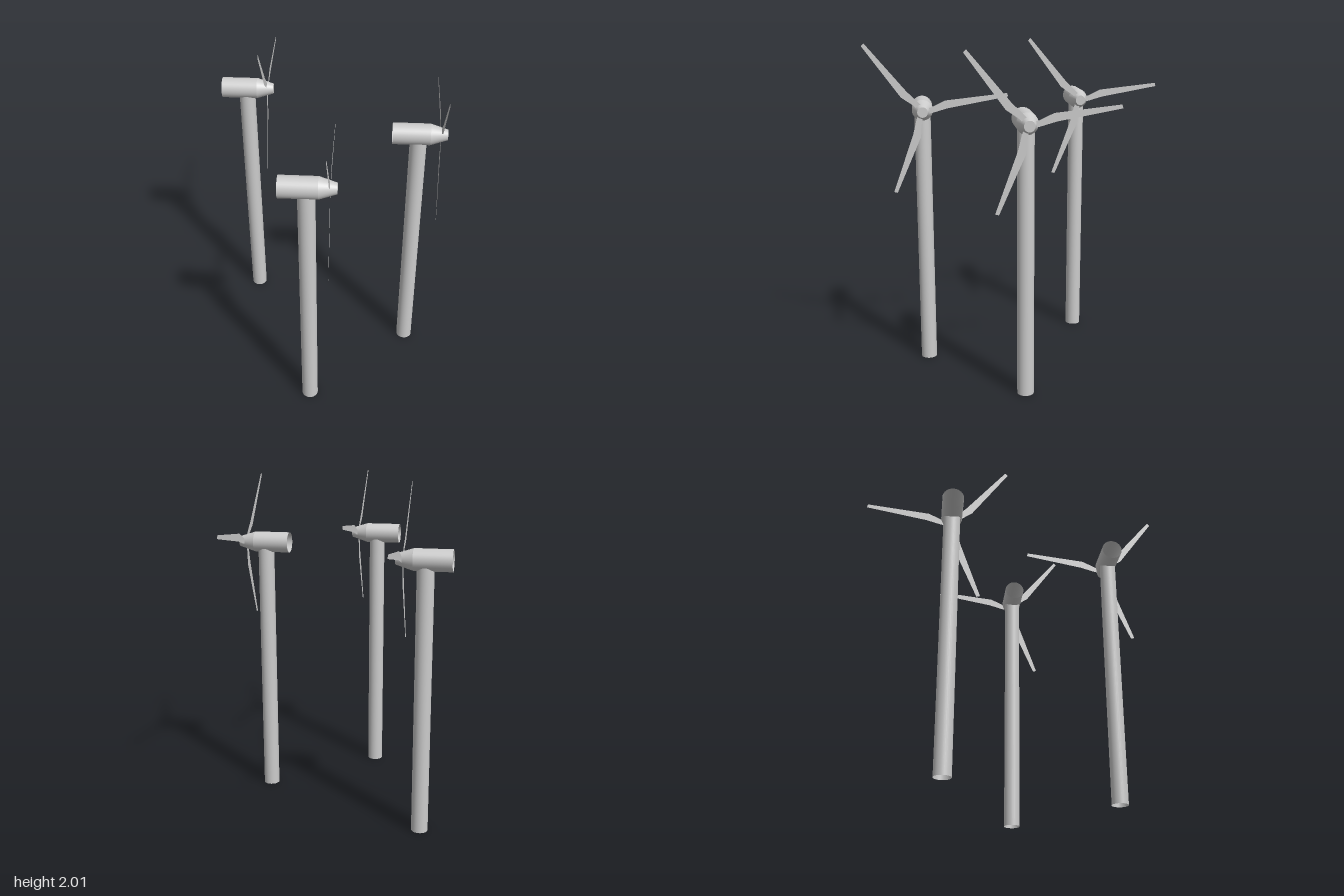
import * as THREE from 'three';

const HUB_Y = 1.606;
const BLADE_X = 0.127;   // rotor plane, ahead of the tower axis
const SIDES = 32;

const grey = new THREE.MeshStandardMaterial({ color: 0xcccccc, side: THREE.DoubleSide });

function addMesh(parent, name, geometry) {
  const mesh = new THREE.Mesh(geometry, grey);
  mesh.name = name;
  parent.add(mesh);
  return mesh;
}

// Open tube along x, from x0 (radius r0) to x1 (radius r1)
function tubeX(x0, r0, x1, r1) {
  return new THREE.CylinderGeometry(r1, r0, x1 - x0, SIDES, 1, true)
    .rotateZ(-Math.PI / 2)
    .translate((x0 + x1) / 2, 0, 0);
}

// Flat blade outline: narrow root, wide shoulder, long taper
function bladeGeometry() {
  const outline = [
    [0.02, -0.018], [0.06, -0.018], [0.15, -0.009], [0.515, -0.01],
    [0.513, 0.012], [0.145, 0.039], [0.06, 0.016], [0.02, 0.012],
  ];
  return new THREE.ShapeGeometry(
    new THREE.Shape(outline.map(([u, v]) => new THREE.Vector2(u, v))));
}

function createTurbine() {
  const turbine = new THREE.Group();
  turbine.name = 'windTurbine';

  // Tower, open at the foot, running up into the nacelle
  const towerHeight = 1.57;
  addMesh(turbine, 'tower',
    new THREE.CylinderGeometry(0.049, 0.049, towerHeight, SIDES, 1, true)
      .translate(0, towerHeight / 2, 0));

  // Nacelle, open at the rear, with a tapered nose
  const nacelle = new THREE.Group();
  nacelle.name = 'nacelle';
  nacelle.position.y = HUB_Y;
  addMesh(nacelle, 'nacelleBody', tubeX(-0.15, 0.062, 0.066, 0.062));
  addMesh(nacelle, 'noseCone', tubeX(0.066, 0.062, 0.165, 0.031));
  addMesh(nacelle, 'noseCap',
    new THREE.CircleGeometry(0.031, SIDES).rotateY(Math.PI / 2).translate(0.165, 0, 0));
  turbine.add(nacelle);

  // Rotor of three flat blades facing +x
  const rotor = new THREE.Group();
  rotor.name = 'rotor';
  rotor.position.set(BLADE_X, HUB_Y, 0);
  rotor.rotation.y = Math.PI / 2;
  const geometry = bladeGeometry();
  for (let i = 0; i < 3; i++) {
    const blade = addMesh(rotor, 'blade', geometry);
    blade.rotation.z = THREE.MathUtils.degToRad(10.3 + i * 120);
  }
  turbine.add(rotor);
  return turbine;
}

export function createModel() {
  const model = new THREE.Group();
  model.name = 'windFarm';
  for (const [x, z] of [[-0.535, -0.43], [0.515, 0.043], [-0.085, 0.597]]) {
    const turbine = createTurbine();
    turbine.position.set(x, 0, z);
    model.add(turbine);
  }
  return model;
}
